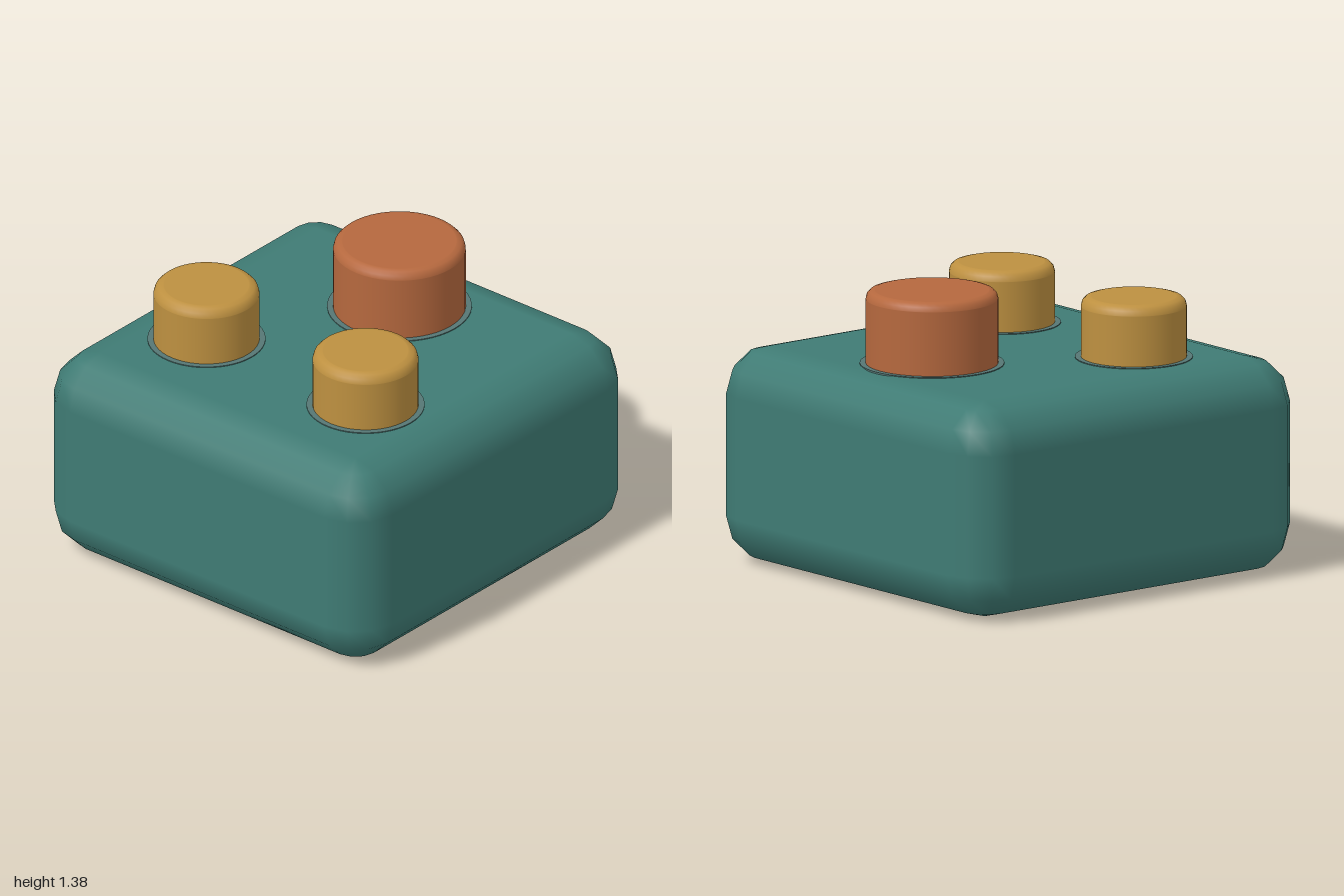
import * as THREE from 'three';

const material = (name, color) => {
  const m = new THREE.MeshStandardMaterial({ color });
  m.name = name;
  return m;
};

// Box with rounded edges of three segments, made by re-spacing a sphere grid
// into rounded-rectangle rings closed by a flat cap at each end.
function roundedBlock(w, h, d, r) {
  const geo = new THREE.SphereGeometry(1, 16, 9);
  const { position, normal } = geo.attributes;
  const lats = [90, 60, 30, 0, 0, -30, -60, -90].map(THREE.MathUtils.degToRad);
  for (let row = 0; row < 10; row++) {
    for (let col = 0; col < 17; col++) {
      const k = row * 17 + col;
      if (row === 0 || row === 9) {
        const s = row === 0 ? 1 : -1;
        position.setXYZ(k, 0, s * h / 2, 0);
        normal.setXYZ(k, 0, s, 0);
        continue;
      }
      const corner = Math.floor(col / 4) % 4;
      const a = (corner + (col % 4) / 3) * Math.PI / 2;
      const mid = (corner + 0.5) * Math.PI / 2;
      const lat = lats[row - 1];
      const n = [-Math.cos(a) * Math.cos(lat), Math.sin(lat), Math.sin(a) * Math.cos(lat)];
      position.setXYZ(k,
        n[0] * r - Math.sign(Math.cos(mid)) * (w / 2 - r),
        n[1] * r + (row < 5 ? 1 : -1) * (h / 2 - r),
        n[2] * r + Math.sign(Math.sin(mid)) * (d / 2 - r));
      normal.setXYZ(k, ...n);
    }
  }
  return geo;
}

// Round peg with a softened top rim
function pegGeometry(radius, bottom, top, bevel) {
  const pts = [[radius, bottom], [radius, top - bevel - 0.002]];
  for (let i = 0; i <= 3; i++) {
    const a = i * Math.PI / 6;
    pts.push([radius - bevel + bevel * Math.cos(a), top - bevel + bevel * Math.sin(a)]);
  }
  pts.push([radius - bevel - 0.004, top], [0, top]);
  return new THREE.LatheGeometry(pts.map(p => new THREE.Vector2(...p)), 48);
}

export function createModel() {
  const model = new THREE.Group();
  const teal = material('teal', 0x3f7b74);
  const gold = material('gold', 0xbd9040);
  const rust = material('rust', 0xb5683e);
  const grey = material('greyTeal', 0x567774);
  const height = 1.03;

  const add = (name, geo, mat, x, y, z) => {
    const mesh = new THREE.Mesh(geo, mat);
    mesh.name = name;
    mesh.position.set(x, y, z);
    model.add(mesh);
  };

  // Rounded body
  add('body', roundedBlock(2, height, 2, 0.225), teal, 0, height / 2, 0);

  // Pegs, each with a thin collar at its foot
  const pegs = [
    ['leftPeg', gold, 0.485, 0.36, 0.247, 1.32, 0.045],
    ['rightPeg', gold, -0.485, 0.36, 0.247, 1.32, 0.045],
    ['backPeg', rust, 0, -0.457, 0.309, 1.38, 0.04],
  ];
  for (const [name, mat, x, z, radius, top, bevel] of pegs) {
    add(name, pegGeometry(radius, height - 0.03, top, bevel), mat, x, 0, z);
    add(name + 'Collar', new THREE.CylinderGeometry(radius + 0.028, radius + 0.028, 0.008, 48),
      grey, x, height, z);
  }
  return model;
}
